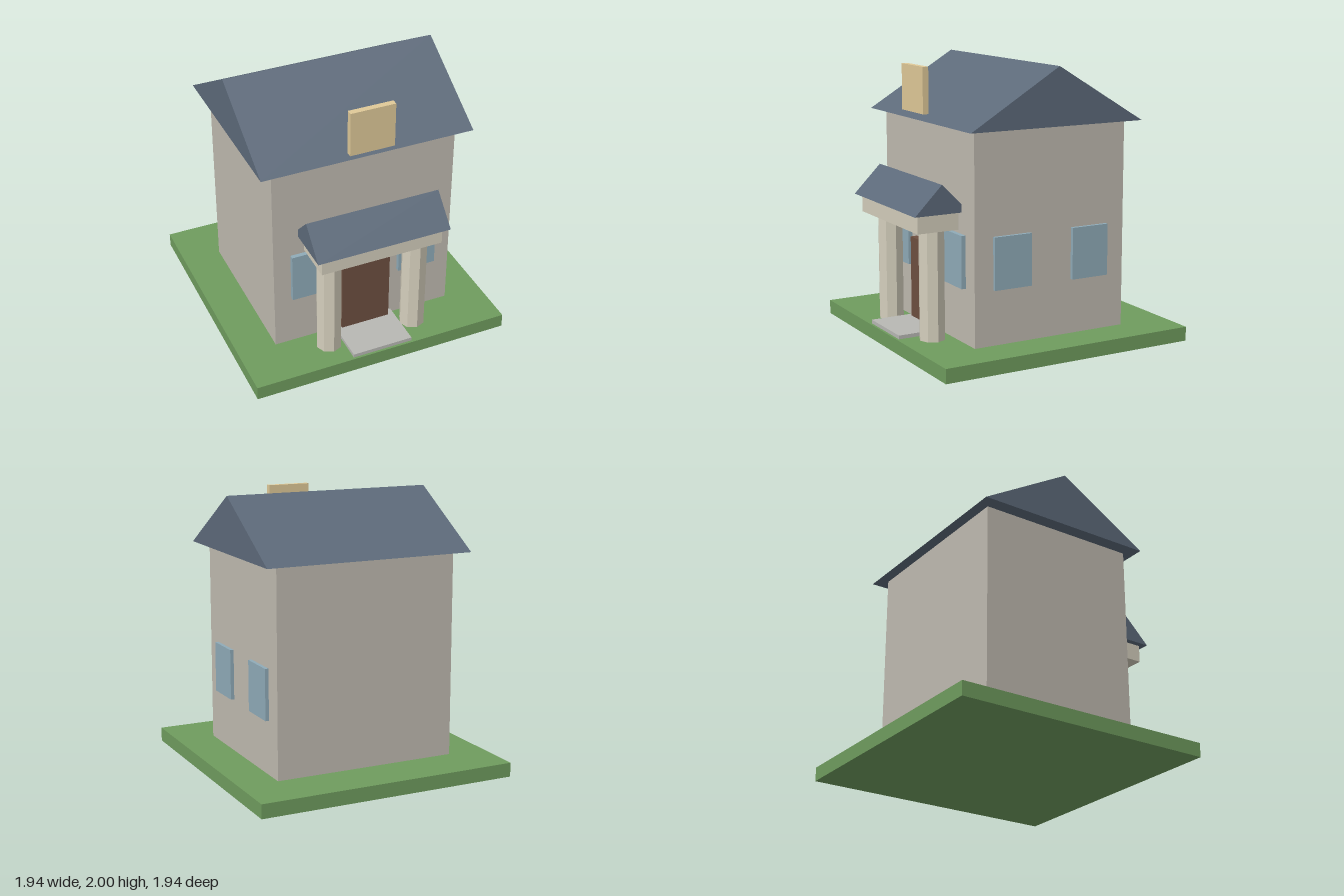
import * as THREE from 'three';

const mat = (color) => new THREE.MeshStandardMaterial({ color, flatShading: true });

export function createModel() {
  const house = new THREE.Group();
  house.name = 'house';

  const grass = mat(0x6f9c5e);
  const wall = mat(0xbfbab0);
  const slate = mat(0x5d6a7a);
  const stone = mat(0xd4cebc);
  const wood = mat(0x6d4f40);
  const glass = mat(0x8fabb8);
  const paving = mat(0xb8b8b4);
  const amber = mat(0xdfc998);

  const add = (name, geometry, material) => {
    const mesh = new THREE.Mesh(geometry, material);
    mesh.name = name;
    house.add(mesh);
    return mesh;
  };

  // Box given by its lower and upper bound on each axis
  const box = (name, [x0, x1], [y0, y1], [z0, z1], material) =>
    add(name, new THREE.BoxGeometry(x1 - x0, y1 - y0, z1 - z0), material)
      .position.set((x0 + x1) / 2, (y0 + y1) / 2, (z0 + z1) / 2);

  // Gable prism with its ridge along x
  const gable = (name, halfLength, y0, y1, z, halfDepth) => {
    const shape = new THREE.Shape();
    shape.moveTo(-halfDepth, 0);
    shape.lineTo(halfDepth, 0);
    shape.lineTo(0, y1 - y0);
    shape.closePath();
    const g = new THREE.ExtrudeGeometry(shape, { depth: 2 * halfLength, bevelEnabled: false });
    g.translate(0, 0, -halfLength).rotateY(Math.PI / 2);
    add(name, g, slate).position.set(0, y0, z);
  };

  // Ground and main body
  box('lawn', [-0.968, 0.968], [0, 0.103], [-0.968, 0.968], grass);
  box('walls', [-0.683, 0.683], [0.103, 1.593], [-0.598, 0.598], wall);
  gable('mainRoof', 0.783, 1.593, 2, 0, 0.677);

  // Entrance
  box('doorstep', [-0.228, 0.228], [0.103, 0.13], [0.59, 0.95], paving);
  box('door', [-0.185, 0.185], [0.103, 0.722], [0.59, 0.651], wood);

  // Porch: eight-sided columns, beam and small gable roof
  for (const side of [-1, 1]) {
    add(side > 0 ? 'leftColumn' : 'rightColumn', new THREE.CylinderGeometry(0.093, 0.093, 0.783, 8), stone)
      .position.set(side * 0.33, 0.4945, 0.743);
  }
  box('porchBeam', [-0.454, 0.454], [0.886, 1.013], [0.581, 0.907], stone);
  gable('porchRoof', 0.497, 1.013, 1.217, 0.743, 0.204);

  // Windows on the front and on the +x wall
  const sill = [0.495, 0.865];
  for (const side of [-1, 1]) {
    const c = side * 0.411;
    box('frontWindow', [c - 0.145, c + 0.145], sill, [0.59, 0.63], glass);
    const z = side * 0.31;
    box('sideWindow', [0.67, 0.709], sill, [z - 0.145, z + 0.145], glass);
  }

  // Free-standing panel in front of the roof slope
  box('atticWindow', [-0.164, 0.164], [1.651, 1.977], [0.67, 0.714], amber);

  return house;
}
